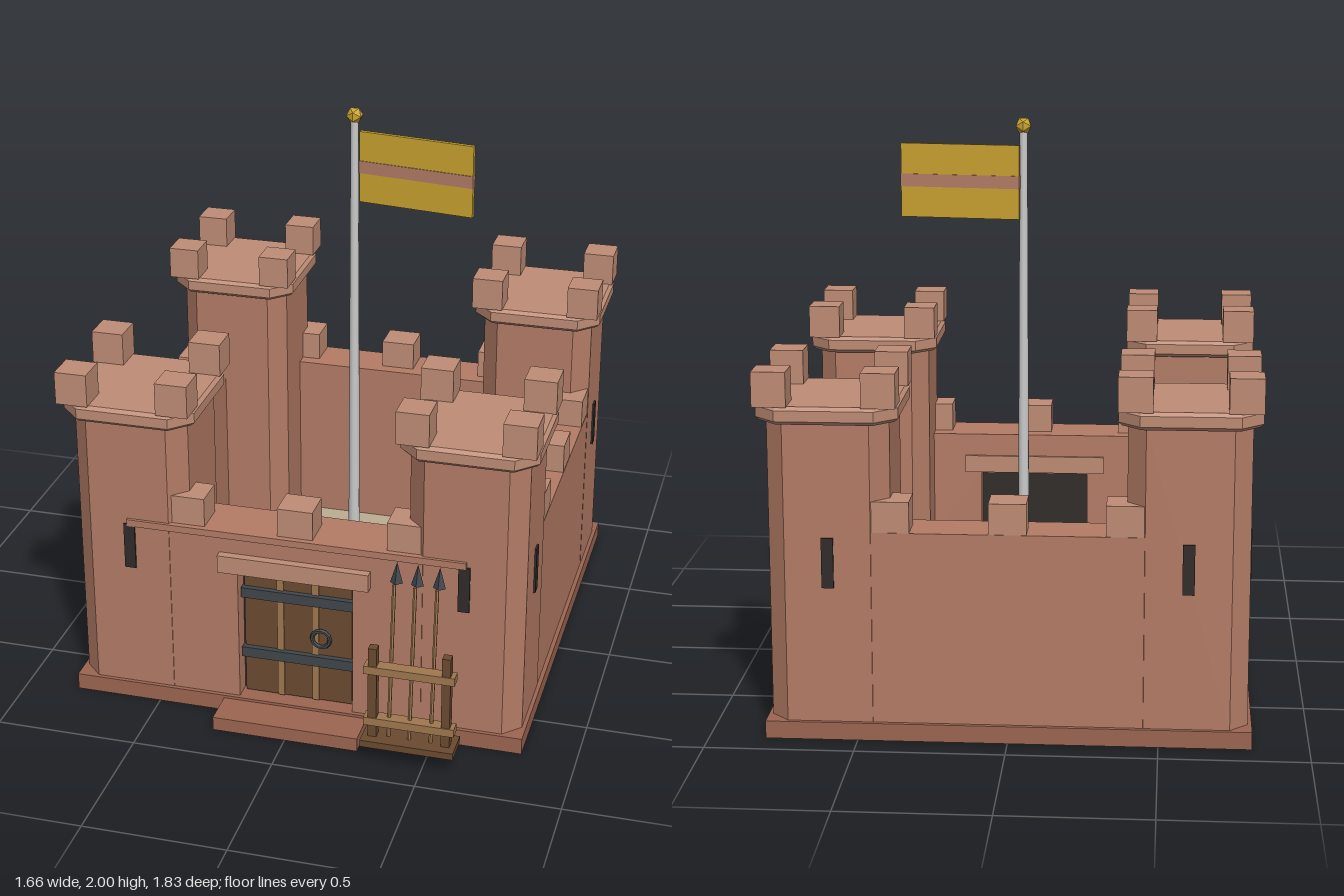
import * as THREE from 'three';

const mat = (color, flatShading = true) => new THREE.MeshStandardMaterial({ color, flatShading });
const M = {
  wall: mat(0xb47c66), trim: mat(0xbf8c75), base: mat(0x9c6552), floor: mat(0xbdae92),
  wood: mat(0x6b4a30), lightWood: mat(0xa07850), iron: mat(0x40464c), dark: mat(0x302c2a),
  gold: mat(0xcaa230), pole: mat(0xcccccc, false),
};
const CZ = -0.09; // centre of the keep along z

function add(parent, name, geo, material, x = 0, y = 0, z = 0) {
  const mesh = new THREE.Mesh(geo, material);
  mesh.name = name;
  mesh.position.set(x, y, z);
  parent.add(mesh);
  return mesh;
}

// Box given by its min and max on each axis
function span(parent, name, material, x0, x1, y0, y1, z0, z1) {
  return add(parent, name, new THREE.BoxGeometry(x1 - x0, y1 - y0, z1 - z0), material,
    (x0 + x1) / 2, (y0 + y1) / 2, (z0 + z1) / 2);
}

// Square with cut corners, extruded upward
function chamferedBlock(half, cut, height, bevel = 0) {
  const h = half - bevel, c = h - cut;
  const pts = [[c, -h], [h, -c], [h, c], [c, h], [-c, h], [-h, c], [-h, -c], [-c, -h]];
  const shape = new THREE.Shape(pts.map(p => new THREE.Vector2(...p)));
  const geo = new THREE.ExtrudeGeometry(shape, {
    depth: height - 2 * bevel, bevelEnabled: bevel > 0,
    bevelSize: bevel, bevelThickness: bevel, bevelSegments: 1,
  });
  return geo.translate(0, 0, bevel).rotateX(-Math.PI / 2);
}

function tower(sx, sz) {
  const g = new THREE.Group();
  g.name = 'tower';
  g.position.set(sx * 0.593, 0, CZ + sz * 0.593);
  add(g, 'towerShaft', chamferedBlock(0.203, 0.06, 1.03), M.wall, 0, 0.06, 0);
  add(g, 'towerCap', chamferedBlock(0.235, 0.065, 0.06, 0.012), M.trim, 0, 1.08, 0);
  for (const mx of [-1, 1]) for (const mz of [-1, 1])
    add(g, 'towerMerlon', new THREE.BoxGeometry(0.113, 0.117, 0.113), M.trim, mx * 0.178, 1.197, mz * 0.178);
  // arrow slits on the two outer faces
  add(g, 'arrowSlit', new THREE.BoxGeometry(0.04, 0.17, 0.02), M.dark, 0, 0.61, sz * 0.2);
  add(g, 'arrowSlit', new THREE.BoxGeometry(0.02, 0.17, 0.04), M.dark, sx * 0.2, 0.61, 0);
  return g;
}

function door() {
  const g = new THREE.Group();
  g.name = 'door';
  span(g, 'doorBacking', M.dark, -0.205, 0.205, 0.06, 0.56, 0.6, 0.64);
  for (const x of [-0.13, 0, 0.13])
    span(g, 'doorPlank', M.wood, x - 0.063, x + 0.063, 0.065, 0.55, 0.64, 0.665);
  for (const x of [-0.063, 0.063])
    span(g, 'doorBatten', M.lightWood, x - 0.012, x + 0.012, 0.065, 0.55, 0.64, 0.67);
  for (const y of [0.23, 0.468])
    span(g, 'ironBand', M.iron, -0.2, 0.2, y - 0.019, y + 0.019, 0.655, 0.685);
  add(g, 'doorRing', new THREE.TorusGeometry(0.032, 0.008, 6, 12), M.iron, 0.085, 0.32, 0.677);
  return g;
}

function spearRack() {
  const g = new THREE.Group();
  g.name = 'spearRack';
  span(g, 'rackFoot', M.wood, 0.285, 0.61, 0.065, 0.09, 0.8, 0.912);
  for (const x of [0.32, 0.575])
    span(g, 'rackPost', M.wood, x - 0.015, x + 0.015, 0.09, 0.435, 0.845, 0.878);
  for (const y of [0.15, 0.352])
    span(g, 'rackRail', M.lightWood, 0.29, 0.605, y - 0.015, y + 0.015, 0.838, 0.882);
  // spears leaning back towards the wall
  for (const x of [0.375, 0.447, 0.522]) {
    const shaft = add(g, 'spearShaft', new THREE.CylinderGeometry(0.007, 0.007, 0.56, 6), M.lightWood, x, 0.37, 0.833);
    const head = add(g, 'spearHead', new THREE.ConeGeometry(0.022, 0.075, 4), M.iron, x, 0.677, 0.766);
    shaft.rotation.x = head.rotation.x = -0.11;
  }
  return g;
}

function flag() {
  const g = new THREE.Group();
  g.name = 'flagAndPole';
  g.position.z = CZ;
  span(g, 'poleFoot', M.base, -0.08, 0.08, 0.06, 0.13, -0.08, 0.08);
  add(g, 'flagPole', new THREE.CylinderGeometry(0.014, 0.022, 1.85, 10), M.pole, 0, 1.03, 0);
  add(g, 'poleKnob', new THREE.IcosahedronGeometry(0.031, 0), M.gold, 0, 1.97, 0);
  const cloth = new THREE.Group();
  cloth.name = 'flag';
  cloth.position.set(0.223, 1.775, 0);
  cloth.rotation.y = -0.14;
  add(cloth, 'flagCloth', new THREE.BoxGeometry(0.425, 0.26, 0.016), M.gold);
  add(cloth, 'flagStripe', new THREE.BoxGeometry(0.427, 0.045, 0.022), M.wall);
  g.add(cloth);
  return g;
}

export function createModel() {
  const root = new THREE.Group();
  root.name = 'castle';

  // Plinth, courtyard and doorstep
  span(root, 'plinth', M.base, -0.81, 0.81, 0, 0.06, -0.9, 0.72);
  span(root, 'courtyardFloor', M.floor, -0.63, 0.63, 0.05, 0.07, -0.72, 0.54);
  span(root, 'doorStep', M.base, -0.26, 0.26, 0, 0.05, 0.7, 0.85);

  // Side and back walls between the tower centres
  for (const s of [-1, 1])
    span(root, 'sideWall', M.wall, ...(s < 0 ? [-0.795, -0.624] : [0.624, 0.795]), 0.06, 0.715, -0.683, 0.503);
  span(root, 'backWall', M.wall, -0.593, 0.593, 0.06, 0.715, -0.885, -0.714);

  // Front wall with a doorway
  const outline = [[-0.593, 0.06], [-0.205, 0.06], [-0.205, 0.56], [0.205, 0.56],
    [0.205, 0.06], [0.593, 0.06], [0.593, 0.7], [-0.593, 0.7]];
  const frontShape = new THREE.Shape(outline.map(p => new THREE.Vector2(...p)));
  add(root, 'frontWall', new THREE.ExtrudeGeometry(frontShape, { depth: 0.181, bevelEnabled: false }), M.wall, 0, 0, 0.524);
  span(root, 'frontLedge', M.wall, -0.6, 0.6, 0.69, 0.715, 0.52, 0.717);
  span(root, 'lintel', M.trim, -0.268, 0.268, 0.565, 0.63, 0.514, 0.735);

  // Merlons along all four walls
  for (const d of [-0.385, 0, 0.385]) {
    for (const s of [-1, 1])
      add(root, 'sideMerlon', new THREE.BoxGeometry(0.122, 0.105, 0.125), M.trim, s * 0.733, 0.767, CZ + d);
    add(root, 'backMerlon', new THREE.BoxGeometry(0.125, 0.105, 0.122), M.trim, d, 0.767, -0.822);
    add(root, 'frontMerlon', new THREE.BoxGeometry(0.125, 0.105, 0.118), M.trim, d, 0.767, 0.637);
  }

  for (const sx of [-1, 1]) for (const sz of [-1, 1]) root.add(tower(sx, sz));
  root.add(door(), spearRack(), flag());
  return root;
}
